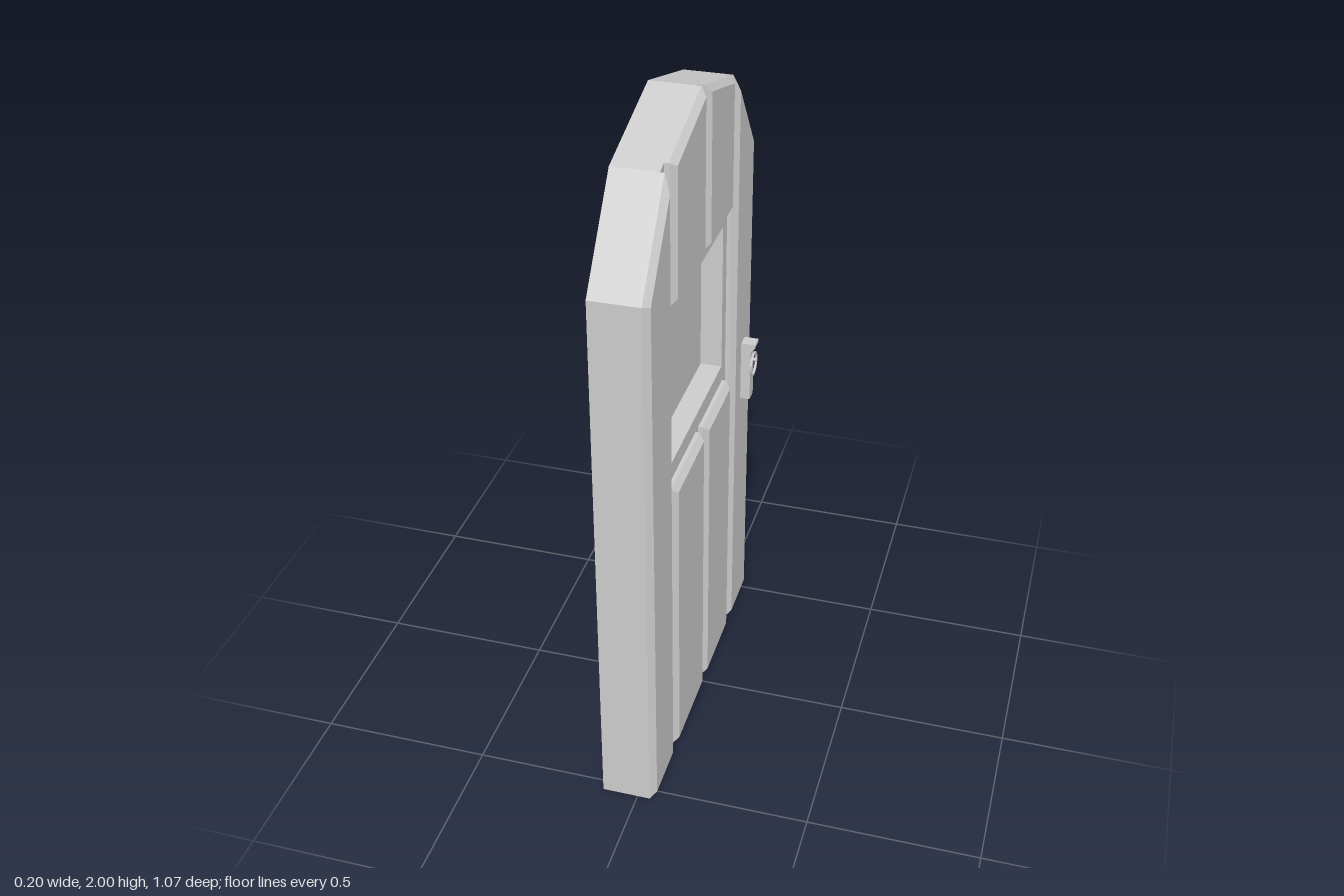
import * as THREE from 'three';

const mat = new THREE.MeshStandardMaterial({ color: 0xcccccc, flatShading: true });
const BACK = -0.105, FACE = 0.025, EDGE = 0.037, FRONT = 0.055, INSET = 0.017;

function add(parent, name, geometry, x = 0, y = 0, z = 0) {
  const mesh = new THREE.Mesh(geometry, mat);
  mesh.name = name;
  mesh.position.set(x, y, z);
  parent.add(mesh);
  return mesh;
}

// Outlines are [u, y] pairs, anticlockwise seen from +x, with u = -z.
const toShape = (pts) => new THREE.Shape(pts.map(([u, y]) => new THREE.Vector2(u, y)));

// Moves every edge of a convex outline inwards and intersects neighbours.
function inset(pts, d) {
  const n = pts.length;
  const edge = (i) => {
    const [ax, ay] = pts[(i + n) % n], [bx, by] = pts[(i + 1) % n];
    const l = Math.hypot(bx - ax, by - ay);
    const nx = -(by - ay) / l, ny = (bx - ax) / l;
    return [nx, ny, nx * ax + ny * ay + d];
  };
  return pts.map((_, i) => {
    const [a, b, c] = edge(i - 1), [e, f, g] = edge(i);
    const det = a * f - b * e;
    return [(c * f - b * g) / det, (a * g - c * e) / det];
  });
}

// Raised panel: straight rim, sloping bevel and flat face.
function panelGeometry(pts) {
  const loops = [[pts, FACE], [pts, EDGE], [inset(pts, INSET), FRONT]];
  const pos = [];
  const put = (loop, i) => {
    const [u, y] = loop[0][i % pts.length];
    pos.push(loop[1], y, -u);
  };
  for (let k = 0; k < 2; k++) {
    const lo = loops[k], hi = loops[k + 1];
    for (let i = 0; i < pts.length; i++) {
      put(lo, i); put(lo, i + 1); put(hi, i + 1);
      put(lo, i); put(hi, i + 1); put(hi, i);
    }
  }
  for (let i = 1; i < pts.length - 1; i++) {
    put(loops[2], 0); put(loops[2], i); put(loops[2], i + 1);
  }
  const g = new THREE.BufferGeometry();
  g.setAttribute('position', new THREE.Float32BufferAttribute(pos, 3));
  g.computeVertexNormals();
  return g;
}

export function createModel() {
  const door = new THREE.Group();
  door.name = 'door';

  // Arched slab with a window opening
  const slab = toShape([[-0.535, 0], [0.535, 0], [0.535, 1.64], [0.332, 1.905],
    [0, 2], [-0.332, 1.905], [-0.535, 1.64]]);
  const win = { u0: -0.277, u1: 0.289, y0: 0.997, y1: 1.463 };
  slab.holes.push(toShape([[win.u0, win.y0], [win.u0, win.y1], [win.u1, win.y1], [win.u1, win.y0]]));
  const slabGeo = new THREE.ExtrudeGeometry(slab, { depth: FACE - BACK, bevelEnabled: false });
  slabGeo.rotateY(Math.PI / 2);
  add(door, 'slab', slabGeo, BACK);

  // Recessed window pane
  add(door, 'windowPane', new THREE.BoxGeometry(0.03, win.y1 - win.y0, win.u1 - win.u0),
    -0.055, (win.y0 + win.y1) / 2, -(win.u0 + win.u1) / 2);

  // Tall side stiles
  add(door, 'rightStile', panelGeometry([[0.332, 0], [0.535, 0], [0.535, 1.64], [0.332, 1.905]]));
  add(door, 'leftStile', panelGeometry([[-0.535, 0], [-0.332, 0], [-0.332, 1.905], [-0.535, 1.64]]));

  // Two columns of middle panels, above and below the window
  const arch = (u) => 2 - (0.095 / 0.332) * Math.abs(u);
  for (const [side, a, b] of [['left', -0.297, 0], ['right', 0.028, 0.297]]) {
    add(door, side + 'LowerPanel', panelGeometry([[a, 0], [b, 0], [b, 0.944], [a, 0.944]]));
    add(door, side + 'UpperPanel', panelGeometry([[a, 1.517], [b, 1.517], [b, arch(b)], [a, arch(a)]]));
  }

  // Handle: back plate, sloped lip, ring and stud
  const handle = new THREE.Group();
  handle.name = 'handle';
  handle.position.set(FRONT, 0, -0.432);
  door.add(handle);
  add(handle, 'handlePlate', new THREE.BoxGeometry(0.03, 0.196, 0.042), 0.015, 0.915, 0);
  const lip = toShape([[0, 0.985], [0.03, 0.985], [0.044, 1.002], [0.044, 1.013], [0, 1.013]]);
  add(handle, 'handleLip', new THREE.ExtrudeGeometry(lip, { depth: 0.042, bevelEnabled: false }), 0, 0, -0.021);
  add(handle, 'handleRing', new THREE.TorusGeometry(0.036, 0.004, 6, 20), 0.035, 0.934, 0).rotation.y = Math.PI / 2;
  add(handle, 'handleStud', new THREE.CylinderGeometry(0.006, 0.006, 0.018, 8), 0.036, 0.951, 0).rotation.z = Math.PI / 2;

  return door;
}
